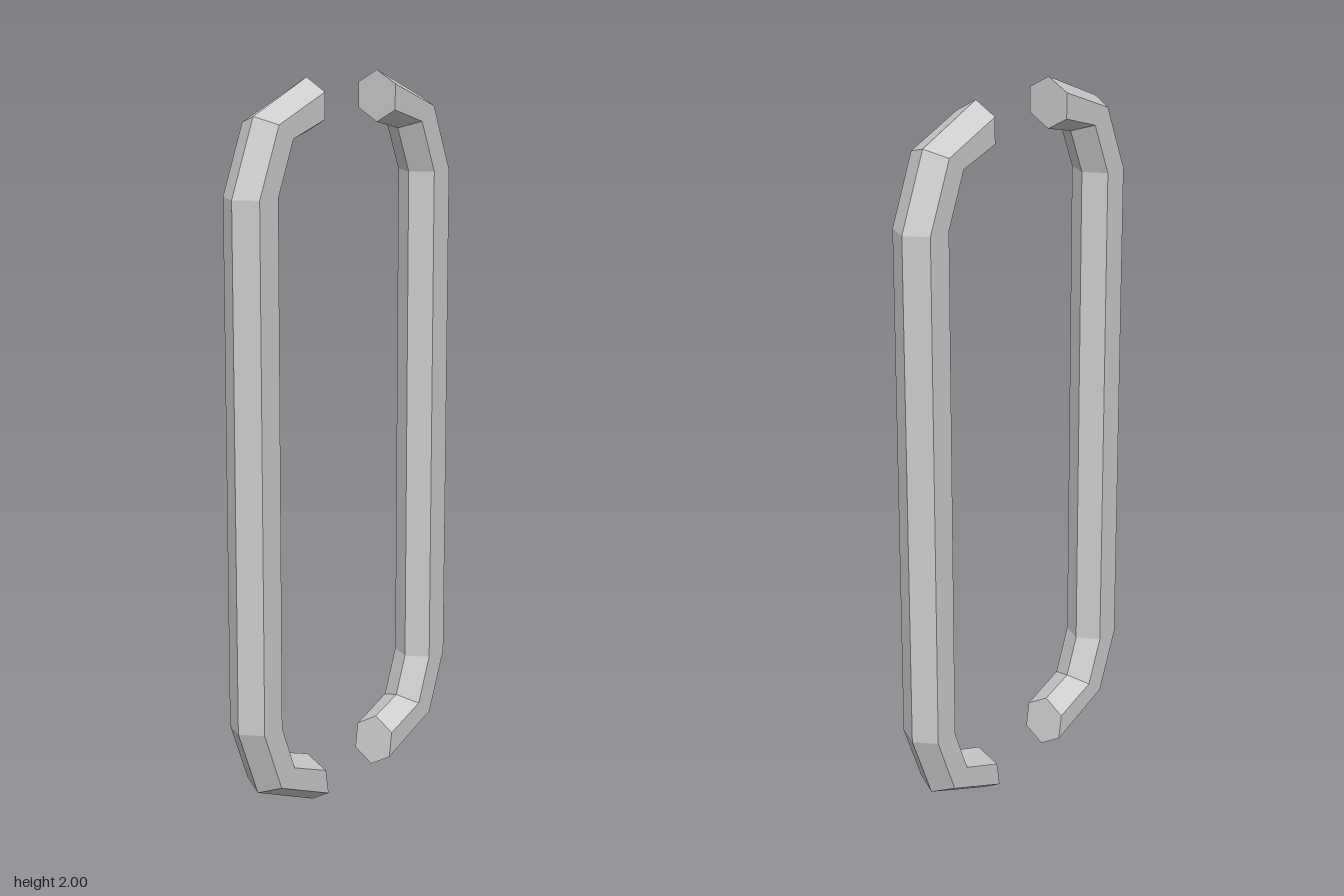
import * as THREE from 'three';

// Outer and inner ridge of the bar, from top end to bottom end: [outerZ, outerY, innerZ, innerY]
const STATIONS = [
  [0.165, 2.0, 0.165, 1.86],
  [0.373, 1.914, 0.262, 1.836],
  [0.457, 1.712, 0.314, 1.712],
  [0.457, 0.287, 0.314, 0.287],
  [0.381, 0.095, 0.272, 0.178],
  [0.15, 0.0, 0.172, 0.142],
];
const SIDES = 6;
const RADIUS = 0.0715;

// Hexagonal bar swept through the stations, with mitred bends and flat ends
function handleGeometry() {
  const positions = [];
  for (const [oz, oy, iz, iy] of STATIONS) {
    for (let k = 0; k < SIDES; k++) {
      const a = (k / SIDES) * Math.PI * 2;
      const t = (1 - Math.cos(a)) / 2;
      positions.push(RADIUS * Math.sin(a), oy + (iy - oy) * t, oz + (iz - oz) * t);
    }
  }
  const index = [];
  for (let i = 0; i < STATIONS.length - 1; i++) {
    for (let k = 0; k < SIDES; k++) {
      const n = (k + 1) % SIDES;
      const a = i * SIDES + k, b = a + SIDES;
      const c = (i + 1) * SIDES + n, d = i * SIDES + n;
      index.push(a, b, c, a, c, d);
    }
  }
  // End caps
  const last = (STATIONS.length - 1) * SIDES;
  for (let k = 1; k < SIDES - 1; k++) {
    index.push(0, k, k + 1);
    index.push(last, last + k + 1, last + k);
  }
  const indexed = new THREE.BufferGeometry();
  indexed.setAttribute('position', new THREE.Float32BufferAttribute(positions, 3));
  indexed.setIndex(index);
  const geometry = indexed.toNonIndexed();
  geometry.computeVertexNormals();
  return geometry;
}

export function createModel() {
  const group = new THREE.Group();
  group.name = 'doorHandlePair';
  const material = new THREE.MeshStandardMaterial({ color: 0xcccccc, flatShading: true });
  const geometry = handleGeometry();

  // Front handle
  const front = new THREE.Mesh(geometry, material);
  front.name = 'frontHandle';
  front.position.x = 0.017;
  group.add(front);

  // Back handle, turned around and very slightly askew
  const back = new THREE.Mesh(geometry, material);
  back.name = 'backHandle';
  back.position.x = -0.009;
  back.rotation.y = Math.PI + 0.023;
  group.add(back);

  return group;
}
